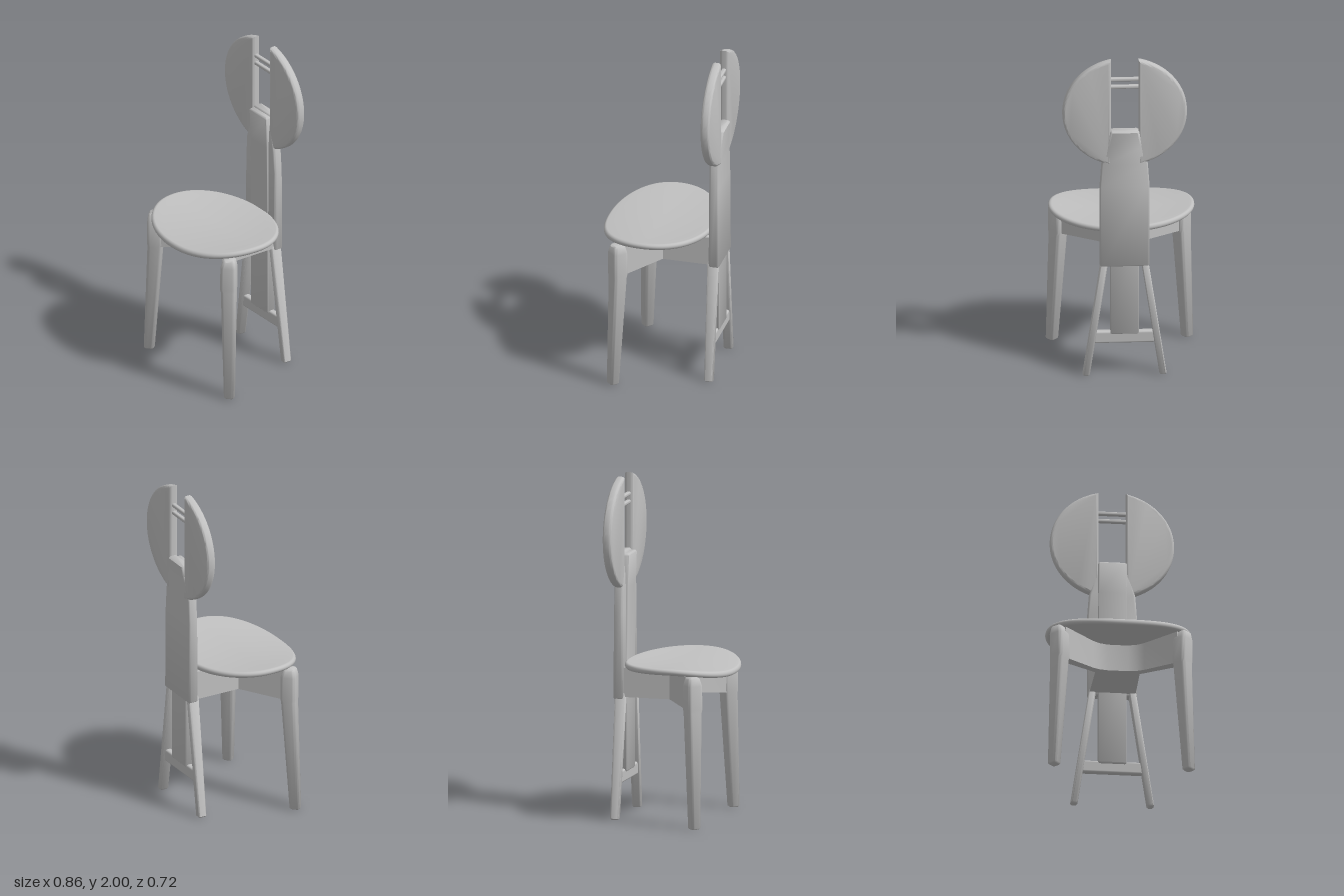
import * as THREE from 'three';
import { mergeVertices, toCreasedNormals } from 'three/addons/utils/BufferGeometryUtils.js';
import { RoundedBoxGeometry } from 'three/addons/geometries/RoundedBoxGeometry.js';

const grey = new THREE.MeshStandardMaterial({ color: 0xc0c0c0 });
grey.name = 'plainGrey';

// Rounded-rectangle cross-sections stacked upwards, with softened, capped ends.
// Each section: { y, x, z, w, d, r, rot, bulge }, w and d being half sizes.
function loft(sections, soft = 0.008) {
  const first = sections[0], last = sections[sections.length - 1];
  const inset = s => ({ ...s, w: s.w - soft, d: s.d - soft, r: Math.max(s.r - soft, 0.004) });
  const rings = [
    inset(first), { ...first, y: first.y + soft },
    ...sections.slice(1, -1),
    { ...last, y: last.y - soft }, inset(last),
  ];
  const steps = 5, n = steps * 4, pos = [], idx = [];
  for (const { y, x, z, w, d, r, rot = 0, bulge = 0 } of rings) {
    for (let k = 0; k < n; k++) {
      const corner = Math.floor(k / steps);
      const a = (corner + (k % steps) / (steps - 1)) * Math.PI / 2;
      const sx = corner === 0 || corner === 3 ? 1 : -1, sz = corner < 2 ? 1 : -1;
      const px = sx * (w - r) + r * Math.cos(a);
      let pz = sz * (d - r) + r * Math.sin(a);
      if (sz < 0) pz += bulge * (px / w) ** 2;
      pos.push(x + px * Math.cos(rot) - pz * Math.sin(rot), y, z + px * Math.sin(rot) + pz * Math.cos(rot));
    }
  }
  for (let i = 0; i < rings.length - 1; i++)
    for (let k = 0; k < n; k++) {
      const a = i * n + k, b = i * n + (k + 1) % n;
      idx.push(a, a + n, b, b, a + n, b + n);
    }
  const top = (rings.length - 1) * n;
  for (let k = 1; k < n - 1; k++) idx.push(0, k, k + 1, top, top + k + 1, top + k);
  const g = new THREE.BufferGeometry();
  g.setAttribute('position', new THREE.Float32BufferAttribute(pos, 3));
  g.setIndex(idx);
  return toCreasedNormals(g, 0.9);
}

// Saddle-shaped oval seat: a soft-edged disc bent by a rule
function seatGeometry() {
  const t = 0.019, profile = [];
  for (let i = 0; i <= 8; i++) profile.push(new THREE.Vector2(0.95 * i / 8, -t));
  for (let i = 1; i < 8; i++) {
    const a = -Math.PI / 2 + Math.PI * i / 8;
    profile.push(new THREE.Vector2(0.95 + 0.05 * Math.cos(a), t * Math.sin(a)));
  }
  for (let i = 8; i >= 0; i--) profile.push(new THREE.Vector2(0.95 * i / 8, t));
  let g = new THREE.LatheGeometry(profile, 72);
  const p = g.attributes.position;
  for (let i = 0; i < p.count; i++) {
    const angle = Math.atan2(p.getZ(i), p.getX(i));
    const r = Math.hypot(p.getX(i), p.getZ(i));
    const c = Math.cos(angle), s = Math.sin(angle), e = s > 0 ? 2.2 : 2.05;
    const k = r / Math.pow(Math.abs(c) ** e + Math.abs(s) ** e, 1 / e);
    const u = c * k, v = s * k;
    const tilt = v > 0 ? -0.018 * v * v : 0.014 * v * v;
    p.setXYZ(i, 0.425 * u, 0.891 + p.getY(i) + 0.032 * u * u + tilt, 0.04 + 0.325 * v);
  }
  g.deleteAttribute('uv');
  g.deleteAttribute('normal');
  g = mergeVertices(g, 1e-5);
  g.computeVertexNormals();
  return g;
}

// Half of the round backrest, cut straight along the middle slot
function backrestGeometry(side) {
  const a0 = Math.acos(0.08 / 0.363), pts = [];
  for (let i = 0; i <= 48; i++) {
    const a = -a0 + 2 * a0 * i / 48;
    pts.push(new THREE.Vector2(side * 0.363 * Math.cos(a), 1.67 + 0.338 * Math.sin(a)));
  }
  const g = new THREE.ExtrudeGeometry(new THREE.Shape(pts), {
    depth: 0.019, bevelEnabled: true, bevelThickness: 0.018, bevelSize: 0.016, bevelOffset: -0.016, bevelSegments: 5,
  });
  g.translate(0, 0, -0.3215);
  return toCreasedNormals(g, 0.7);
}

// Y-shaped apron seen from above, sides listed as [x, z]
function apronGeometry() {
  const half = [[0.135, -0.3], [0.13, 0], [0.375, 0.185], [0.325, 0.235], [0.15, 0.075], [0.11, 0.05], [0.06, 0.038]];
  const pts = [...half, ...half.slice().reverse().map(([x, z]) => [-x, z])];
  const shape = new THREE.Shape(pts.map(([x, z]) => new THREE.Vector2(x, z)));
  const g = new THREE.ExtrudeGeometry(shape, { depth: 0.175, bevelEnabled: false });
  g.rotateX(Math.PI / 2).translate(0, 0.885, 0);
  const p = g.attributes.position;
  for (let i = 0; i < p.count; i++)
    if (p.getY(i) < 0.8) p.setY(i, p.getY(i) - 0.11 * Math.max(0, p.getZ(i) - 0.02));
  return toCreasedNormals(g, 0.5);
}

export function createModel() {
  const model = new THREE.Group();
  model.name = 'chair';
  const add = (name, geometry) => {
    const m = new THREE.Mesh(geometry, grey);
    m.name = name;
    model.add(m);
    return m;
  };

  add('seat', seatGeometry());
  add('apron', apronGeometry());

  // Legs and backrest halves, mirrored
  for (const s of [1, -1]) {
    const side = s > 0 ? 'left' : 'right', rot = s * Math.PI / 4;
    add(side + 'FrontLeg', loft([
      { y: 0, x: s * 0.393, z: 0.23, w: 0.031, d: 0.031, r: 0.018, rot },
      { y: 0.68, x: s * 0.36, z: 0.21, w: 0.044, d: 0.044, r: 0.02, rot },
      { y: 0.7, x: s * 0.358, z: 0.21, w: 0.047, d: 0.047, r: 0.02, rot },
      { y: 0.84, x: s * 0.36, z: 0.21, w: 0.046, d: 0.046, r: 0.02, rot },
      { y: 0.89, x: s * 0.364, z: 0.21, w: 0.037, d: 0.037, r: 0.02, rot },
    ]));
    add(side + 'BackLeg', loft([
      { y: 0, x: s * 0.223, z: -0.303, w: 0.021, d: 0.027, r: 0.012 },
      { y: 0.74, x: s * 0.115, z: -0.3, w: 0.021, d: 0.033, r: 0.012 },
    ]));
    add(side + 'Backrest', backrestGeometry(s));
  }

  // Stretcher between the back legs
  add('backStretcher', new RoundedBoxGeometry(0.36, 0.075, 0.04, 3, 0.012)).position.set(0, 0.24, -0.302);

  // Narrow front spine running the full height of the back
  add('frontSpine', loft([
    { y: 0.26, x: 0, z: -0.3, w: 0.083, d: 0.028, r: 0.008 },
    { y: 0.93, x: 0, z: -0.3, w: 0.083, d: 0.028, r: 0.008 },
    { y: 1.35, x: 0, z: -0.298, w: 0.083, d: 0.03, r: 0.008 },
    { y: 1.545, x: 0, z: -0.295, w: 0.083, d: 0.034, r: 0.008 },
  ]));

  // Wide rear board, narrowing and flaring backwards at the top
  add('rearBoard', loft([
    { y: 0.695, x: 0, z: -0.308, w: 0.145, d: 0.032, r: 0.014 },
    { y: 1.2, x: 0, z: -0.31, w: 0.145, d: 0.03, r: 0.014, bulge: 0.004 },
    { y: 1.34, x: 0, z: -0.31, w: 0.135, d: 0.031, r: 0.014, bulge: 0.006 },
    { y: 1.45, x: 0, z: -0.318, w: 0.105, d: 0.034, r: 0.014, bulge: 0.012 },
    { y: 1.555, x: 0, z: -0.33, w: 0.085, d: 0.036, r: 0.012, bulge: 0.02 },
  ]));

  // Two thin bars joining the backrest halves
  for (const y of [1.827, 1.874])
    add('backrestBar', new RoundedBoxGeometry(0.19, 0.023, 0.026, 3, 0.009)).position.set(0, y, -0.312);

  return model;
}
